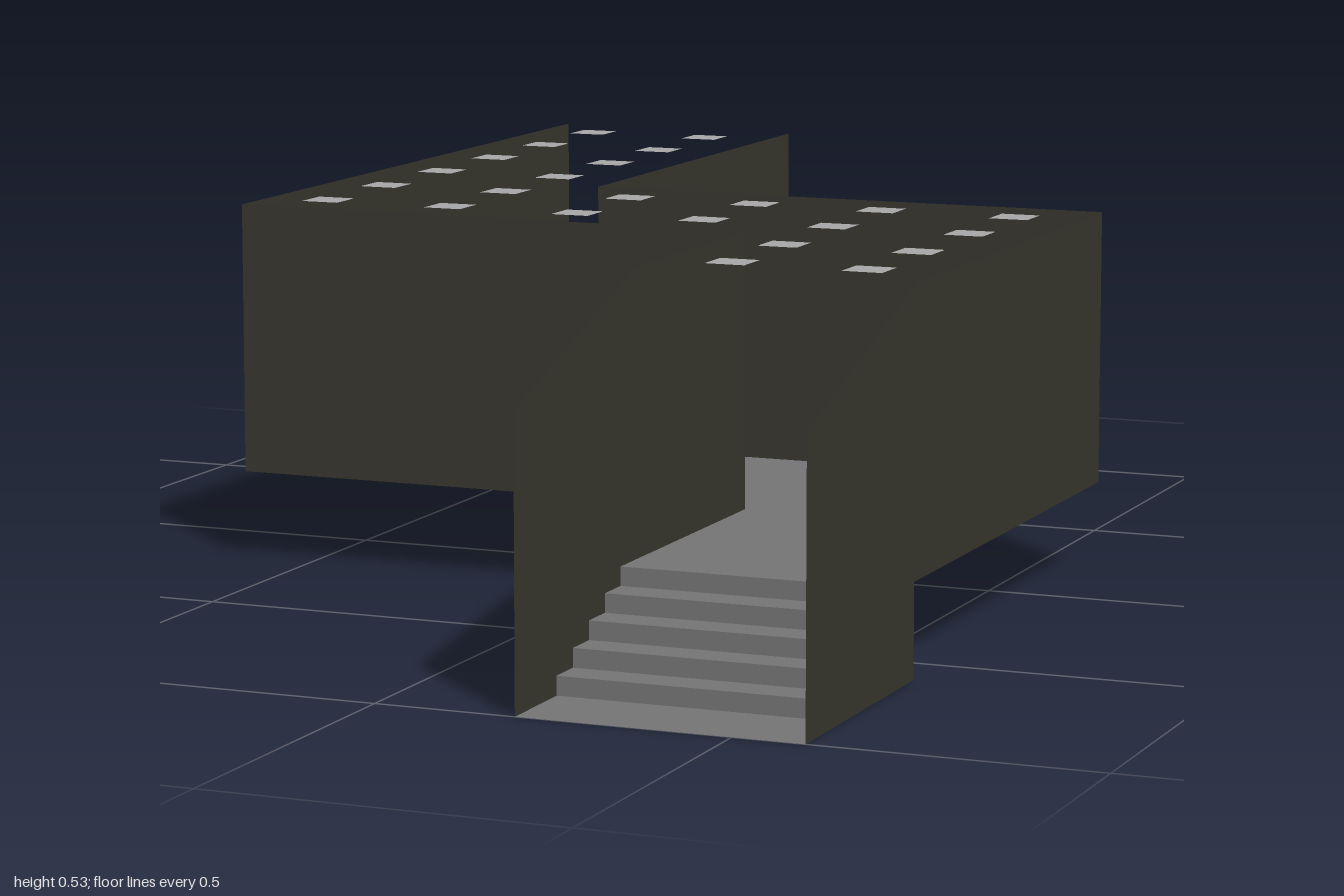
import * as THREE from 'three';

const material = (name, color) =>
  new THREE.MeshStandardMaterial({ name, color, side: THREE.DoubleSide });

const FLOOR = 0.133, TOP = 0.533;

// Flat-shaded sheet stretched between two matching polylines
function sheet(a, b) {
  const p = [];
  for (let i = 0; i < a.length - 1; i++) {
    p.push(...a[i], ...a[i + 1], ...b[i + 1], ...a[i], ...b[i + 1], ...b[i]);
  }
  const g = new THREE.BufferGeometry();
  g.setAttribute('position', new THREE.Float32BufferAttribute(p, 3));
  g.computeVertexNormals();
  return g;
}

export function createModel() {
  const group = new THREE.Group();
  const wallMat = material('dark wall', 0x38362e);
  const floorMat = material('grey floor', 0x757575);
  const lightMat = material('pale light panel', 0xa8a8a8);
  const add = (name, geometry, mat, parent = group) => {
    const mesh = new THREE.Mesh(geometry, mat);
    mesh.name = name;
    parent.add(mesh);
    return mesh;
  };

  // Walls: each side follows the bends of the corridor, in [x, z]
  const wallPaths = {
    leftWall: [[0.6, 0.6], [0.6, -0.2], [-0.2, -0.2], [-0.2, -1]],
    rightWall: [[0.2, 0.6], [0.2, 0.2], [-0.6, 0.2], [-0.6, -1]],
  };
  for (const [name, path] of Object.entries(wallPaths)) {
    add(name, sheet(path.map(([x, z]) => [x, FLOOR, z]), path.map(([x, z]) => [x, TOP, z])), wallMat);
    // Sloping wall beside the stairs
    const x = path[0][0];
    add(name + 'Stairs', sheet([[x, 0, 1], [x, 0, 0.6]], [[x, 0.4, 1], [x, TOP, 0.6]]), wallMat);
  }

  // Upper floor, a Z-shaped plan
  const plan = [[0.2, 0.6], [0.6, 0.6], [0.6, -0.2], [-0.2, -0.2], [-0.2, -1], [-0.6, -1], [-0.6, 0.2], [0.2, 0.2]];
  const floor = new THREE.ShapeGeometry(new THREE.Shape(plan.map(([x, z]) => new THREE.Vector2(x, -z))));
  floor.rotateX(-Math.PI / 2).translate(0, FLOOR, 0);
  add('floor', floor, floorMat);

  // Stairs: landing, five steps, then back down and along the underside
  const profile = [[1, 0]];
  const steps = 5;
  for (let i = 0; i < steps; i++) {
    const z = 0.867 - i * 0.0535;
    profile.push([z, FLOOR * i / steps], [z, FLOOR * (i + 1) / steps]);
  }
  profile.push([0.6, FLOOR], [0.6, 0], [0.867, 0]);
  add('stairs', sheet(profile.map(([z, y]) => [0.2, y, z]), profile.map(([z, y]) => [0.6, y, z])), floorMat);

  // Ceiling lights: pairs along each arm of the corridor
  const lights = new THREE.Group();
  lights.name = 'ceilingLights';
  group.add(lights);
  const panel = new THREE.PlaneGeometry(0.058, 0.058).rotateX(-Math.PI / 2);
  const grid = (xs, zs) => {
    for (const x of xs) for (const z of zs) add('lightPanel', panel, lightMat, lights).position.set(x, TOP, z);
  };
  grid([-0.508, -0.308], [-0.893, -0.696, -0.498, -0.299]);
  grid([-0.508, -0.308, -0.104, 0.096, 0.294, 0.5], [-0.098, 0.1]);
  grid([0.301, 0.498], [0.309, 0.503]);

  return group;
}
